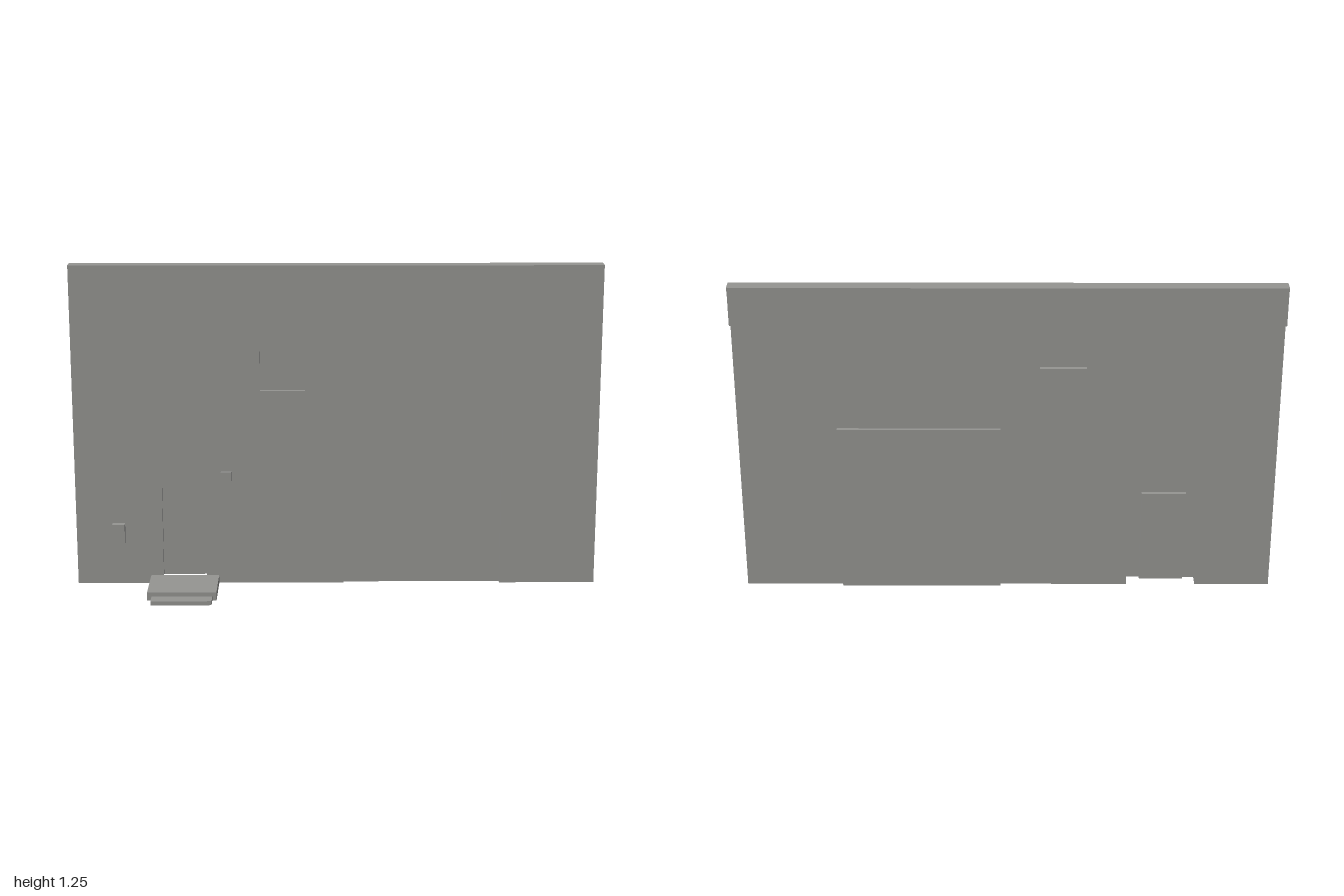
import * as THREE from 'three';

const WALL_Z = -0.102;

// Box between two corners that keeps only the listed sides.
const SIDES = ['left', 'right', 'top', 'bottom', 'front', 'back'];
function openBox(name, [x0, x1], [y0, y1], [z0, z1], sides, material) {
  const geometry = new THREE.BoxGeometry(x1 - x0, y1 - y0, z1 - z0);
  const all = Array.from(geometry.index.array);
  geometry.setIndex(sides.flatMap((side) => {
    const i = SIDES.indexOf(side) * 6;
    return all.slice(i, i + 6);
  }));
  geometry.clearGroups();
  geometry.translate((x0 + x1) / 2, (y0 + y1) / 2, (z0 + z1) / 2);
  const mesh = new THREE.Mesh(geometry, material);
  mesh.name = name;
  return mesh;
}

export function createModel() {
  const model = new THREE.Group();
  model.name = 'buildingFront';
  const grey = new THREE.MeshStandardMaterial({ color: 0x969693, side: THREE.DoubleSide });
  grey.name = 'warm grey';

  const platform = { x: [-0.717, -0.454], top: 0.032 };
  const door = { x: [-0.668, -0.502], top: 0.403 };
  const gate = { x: [0.028, 0.633], top: 0.67 };
  const win = { x: [-0.288, -0.117], y: [0.768, 0.921] };

  // Thin wall, cut out around the platform, door and gate, with a window hole
  const outline = [
    [-1, 0], [platform.x[0], 0], [platform.x[0], platform.top],
    [door.x[0], platform.top], [door.x[0], door.top],
    [door.x[1], door.top], [door.x[1], platform.top],
    [platform.x[1], platform.top], [platform.x[1], 0],
    [gate.x[0], 0], [gate.x[0], gate.top], [gate.x[1], gate.top], [gate.x[1], 0],
    [1, 0], [1, 1.24], [-1, 1.24],
  ];
  const shape = new THREE.Shape(outline.map(([x, y]) => new THREE.Vector2(x, y)));
  const hole = [[0, 0], [0, 1], [1, 1], [1, 0]];
  shape.holes.push(new THREE.Path(hole.map(([i, j]) => new THREE.Vector2(win.x[i], win.y[j]))));
  const wall = new THREE.Mesh(new THREE.ShapeGeometry(shape), grey);
  wall.name = 'wall';
  wall.position.z = WALL_Z;
  model.add(wall);

  // Recessed panels with their reveals
  const reveal = ['left', 'right', 'top', 'back'];
  model.add(
    openBox('door', door.x, [platform.top, door.top], [-0.116, WALL_Z], reveal, grey),
    openBox('gate', gate.x, [0, gate.top], [-0.116, WALL_Z], reveal, grey),
    openBox('window', win.x, win.y, [-0.119, WALL_Z], [...reveal, 'bottom'], grey),
  );

  // Entrance platform and lower step, hollow underneath
  const tread = ['left', 'right', 'top', 'front'];
  model.add(
    openBox('platform', platform.x, [0, platform.top], [WALL_Z, 0.097], tread, grey),
    openBox('step', [-0.7, -0.47], [0, 0.016], [0.097, 0.149], tread, grey),
  );

  // Small boxes mounted on the wall
  const mounted = ['left', 'right', 'top', 'bottom', 'front'];
  model.add(
    openBox('meterBox', [-0.861, -0.813], [0.169, 0.244], [WALL_Z, -0.079], mounted, grey),
    openBox('letterBox', [-0.441, -0.401], [0.387, 0.451], [WALL_Z, -0.084], mounted, grey),
  );

  // Coping along the top with a fascia hanging behind it, open at the ends
  model.add(
    openBox('coping', [-1, 1], [1.237, 1.25], [-0.149, -0.097], ['top', 'bottom', 'front', 'back'], grey),
    openBox('fascia', [-1, 1], [1.1, 1.237], [-0.14, WALL_Z], ['back'], grey),
  );
  return model;
}
